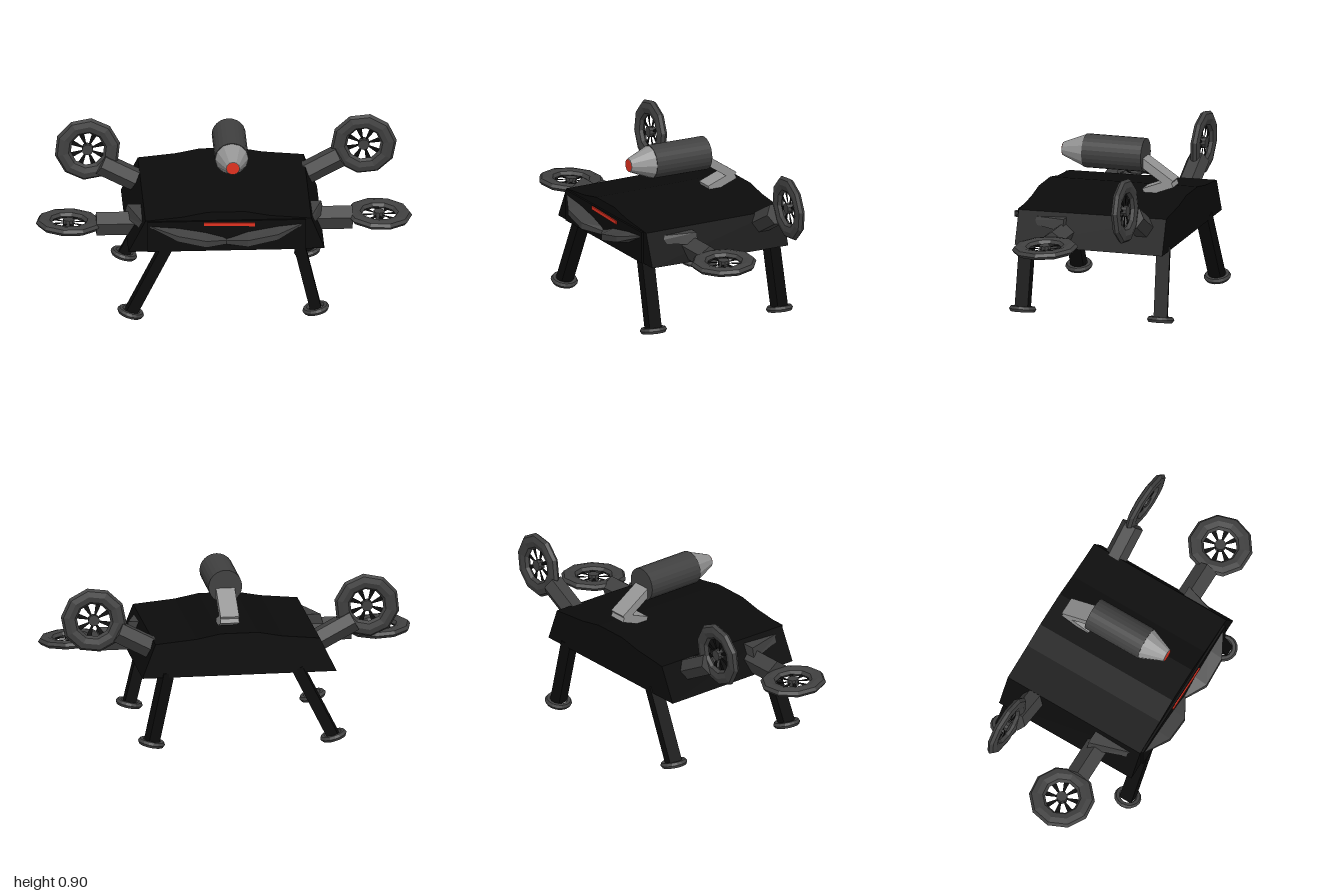
import * as THREE from 'three';

const mat = (name, color, extra = {}) =>
  Object.assign(new THREE.MeshStandardMaterial({ color, flatShading: true, ...extra }), { name });

export function createModel() {
  const black = mat('black shell', 0x0b0b0b, { side: THREE.DoubleSide });
  const dark = mat('dark grey', 0x404040);
  const light = mat('light grey', 0x959595);
  const red = mat('red', 0xe0301f, { side: THREE.DoubleSide });
  const model = new THREE.Group();
  const V = (x, y, z) => new THREE.Vector3(x, y, z);

  const add = (name, geo, material, parent = model) => {
    const m = new THREE.Mesh(geo, material);
    m.name = name;
    parent.add(m);
    return m;
  };

  // straight prism between two points; w and d scale its cross-section
  const beam = (name, a, b, geo, material) => {
    const m = add(name, geo(a.distanceTo(b)), material);
    m.position.copy(a).add(b).multiplyScalar(0.5);
    m.quaternion.setFromUnitVectors(V(0, 1, 0), b.clone().sub(a).normalize());
    return m;
  };

  // closed loft through equal-length rings of points
  const loft = (rings) => {
    const n = rings[0].length, idx = [];
    for (let i = 0; i < rings.length - 1; i++)
      for (let j = 0; j < n; j++) {
        const a = i * n + j, b = i * n + (j + 1) % n;
        idx.push(a, b, a + n, b, b + n, a + n);
      }
    const e = (rings.length - 1) * n;
    for (let j = 1; j < n - 1; j++) idx.push(0, j + 1, j, e, e + j, e + j + 1);
    const g = new THREE.BufferGeometry();
    g.setAttribute('position', new THREE.Float32BufferAttribute(rings.flat(2), 3));
    g.setIndex(idx);
    const flat = g.toNonIndexed();
    flat.computeVertexNormals();
    return flat;
  };

  // body: flared shell with a faceted deck, front edge slightly lower
  const profile = [[-0.52, 0.4], [0.52, 0.4], [0.45, 0.585], [0.23, 0.605], [0.1, 0.63],
    [-0.1, 0.63], [-0.23, 0.605], [-0.43, 0.585]];
  add('body', loft([-0.43, 0.39].map((z, i) =>
    profile.map(([x, y]) => [x, y > 0.5 && i ? y - 0.01 : y, z]))), black);
  add('frontPlate', new THREE.BoxGeometry(0.84, 0.17, 0.02), black).position.set(0, 0.488, 0.392);

  // red slit above the bumper
  const slit = add('frontSlit', new THREE.BoxGeometry(0.27, 0.018, 0.008), red);
  slit.position.set(0.015, 0.555, 0.405);
  slit.rotation.z = -0.03;

  // pointed bumper, one drooping wing on each side
  const stations = [[-0.42, 0.55, 0.005, 0.395], [-0.26, 0.505, 0.035, 0.472], [-0.11, 0.472, 0.04, 0.474],
    [0, 0.455, 0.025, 0.41], [0.11, 0.472, 0.04, 0.474], [0.27, 0.505, 0.035, 0.472], [0.42, 0.55, 0.005, 0.39]];
  add('bumper', loft(stations.map(([x, y, h, z]) =>
    [[x, y - h, 0.385], [x, y + h, 0.385], [x, y + h * 0.4, z], [x, y - h * 0.5, z]])),
  mat('dark grey', 0x404040, { side: THREE.DoubleSide }));
  model.getObjectByName('bumper').material = Object.assign(dark, { side: THREE.DoubleSide });

  // ducted fan, axis along local z
  const rotor = (name, pos, rot) => {
    const g = new THREE.Group();
    g.name = name;
    const rim = new THREE.TorusGeometry(0.133, 0.043, 8, 10);
    rim.scale(1, 1, 0.55);
    add('rim', rim, dark, g);
    const hub = new THREE.CylinderGeometry(0.03, 0.03, 0.035, 10);
    hub.rotateX(Math.PI / 2);
    add('hub', hub, dark, g);
    for (let i = 0; i < 8; i++)
      add('blade', new THREE.CircleGeometry(0.1, 2, i * Math.PI / 4, 0.32), black, g);
    g.position.set(...pos);
    g.rotation.set(...rot);
    model.add(g);
  };
  rotor('frontLeftRotor', [0.822, 0.475, 0.125], [-Math.PI / 2 + 0.04, 0.05, 0]);
  rotor('frontRightRotor', [-0.825, 0.47, 0.145], [-Math.PI / 2 - 0.04, 0.03, 0.1]);
  rotor('rearLeftRotor', [0.762, 0.697, -0.3], [0.04, -0.05, 0.12]);
  rotor('rearRightRotor', [-0.705, 0.71, -0.27], [-0.04, -0.04, 0.2]);

  // rotor arms and the front side fairings
  const penta = (r) => (l) => new THREE.CylinderGeometry(r, r, l, 5);
  for (const s of [1, -1]) {
    const fz = s > 0 ? 0.132 : 0.155, rz = s > 0 ? -0.302 : -0.262;
    const side = s > 0 ? 'Left' : 'Right';
    const arm = add(`front${side}Arm`, penta(0.065)(0.26), dark);
    arm.rotation.z = Math.PI / 2;
    arm.geometry.rotateY(Math.PI / 2);
    if (s > 0) arm.geometry.rotateY(0);
    else arm.geometry.rotateY(0);
    arm.position.set(s * 0.55, 0.465, fz);
    beam(`rear${side}Arm`, V(s * 0.4, 0.505, rz), V(s * 0.635, 0.63, rz),
      (l) => new THREE.CylinderGeometry(0.062, 0.062, l, 6), dark);

    const fairing = [[0.12, 0.53, 0.525], [0.38, 0.445, 0.53]].map(([z, x, y], i) => {
      const h = i ? 0.015 : 0.032;
      const p = [[s * 0.43, y - h, z], [s * x, y - h, z], [s * (x - 0.015), y + h, z], [s * 0.43, y + h, z]];
      return s > 0 ? p : p.reverse();
    });
    add(`front${side}Fairing`, loft(fairing), dark);
  }

  // legs with tilted ring feet
  const leg = (name, top, foot, tilt) => {
    beam(`${name}Leg`, top, foot, (l) => new THREE.BoxGeometry(0.06, l, 0.072), black);
    const ring = new THREE.TorusGeometry(0.056, 0.017, 6, 16);
    ring.rotateX(Math.PI / 2);
    const m = add(`${name}Foot`, ring, dark);
    m.position.copy(foot);
    m.position.y = 0.04;
    m.rotation.z = tilt;
  };
  leg('frontLeft', V(0.385, 0.42, 0.36), V(0.475, 0.04, 0.36), 0.2);
  leg('frontRight', V(-0.315, 0.42, 0.36), V(-0.507, 0.04, 0.36), -0.28);
  leg('rearLeft', V(0.385, 0.42, -0.395), V(0.468, 0.04, -0.405), 0.2);
  leg('rearRight', V(-0.315, 0.42, -0.395), V(-0.505, 0.04, -0.41), -0.28);

  // small sensor under the belly
  const sensor = add('bellySensor', new THREE.BoxGeometry(0.12, 0.03, 0.15), dark);
  sensor.position.set(0.1, 0.402, 0.17);
  sensor.rotation.x = -0.1;

  // camera barrel, tapered nose and red lens
  const alongZ = (r0, r1, len, n) => {
    const g = new THREE.CylinderGeometry(r0, r1, len, n);
    g.rotateX(Math.PI / 2);
    return g;
  };
  add('barrel', alongZ(0.09, 0.09, 0.33, 24), dark).position.set(0.04, 0.818, -0.02);
  add('barrelNose', alongZ(0.036, 0.088, 0.126, 12), light).position.set(0.04, 0.818, 0.208);
  const lens = add('lens', new THREE.CircleGeometry(0.034, 12), red);
  lens.position.set(0.04, 0.818, 0.273);

  // bent bracket carrying the barrel
  const bar = (l) => new THREE.BoxGeometry(0.1, l, 0.045);
  beam('bracketUpper', V(0.04, 0.8, -0.16), V(0.04, 0.68, -0.34), bar, light);
  beam('bracketLower', V(0.04, 0.685, -0.345), V(0.04, 0.625, -0.19), bar, light);

  return model;
}
